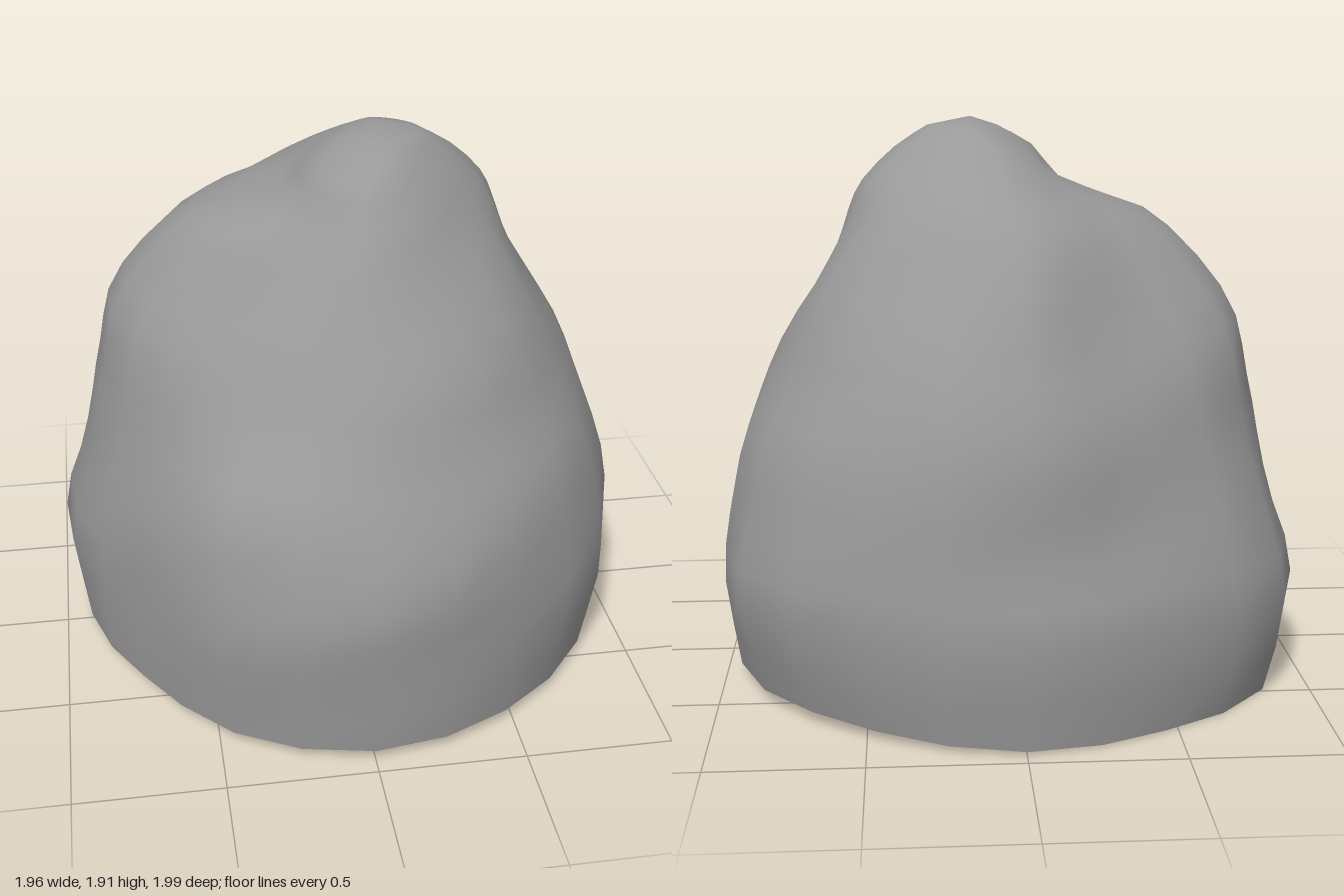
import * as THREE from 'three';

// Cross-sections from the open base to the crown: height and centre [y, x, z]
const LEVELS = [
  [0.045, 0, 0], [0.35, 0, 0], [0.6, 0, 0], [0.85, 0, 0], [1.05, 0, 0],
  [1.25, 0, 0], [1.45, 0, 0], [1.6, 0, 0], [1.7, 0.03, 0], [1.81, 0.06, 0.03],
  [1.88, 0.13, 0.06],
];
// Radii of each section every 30 degrees, from +x round through +z
const RADII = [
  [0.97, 0.95, 0.94, 0.95, 0.91, 0.85, 0.91, 0.97, 0.92, 0.95, 0.94, 0.98],
  [0.98, 1.0, 0.96, 0.98, 0.95, 0.86, 0.95, 1.04, 0.96, 0.99, 1.01, 1.06],
  [0.97, 0.99, 0.96, 0.99, 0.95, 0.84, 0.9, 0.97, 0.89, 0.95, 0.98, 1.03],
  [0.92, 0.93, 0.91, 0.9, 0.9, 0.78, 0.84, 0.89, 0.83, 0.93, 0.95, 0.96],
  [0.84, 0.84, 0.82, 0.79, 0.76, 0.72, 0.8, 0.85, 0.76, 0.89, 0.87, 0.86],
  [0.73, 0.76, 0.74, 0.7, 0.64, 0.64, 0.77, 0.79, 0.66, 0.79, 0.77, 0.78],
  [0.61, 0.64, 0.61, 0.59, 0.5, 0.51, 0.63, 0.65, 0.57, 0.68, 0.64, 0.66],
  [0.55, 0.54, 0.52, 0.5, 0.4, 0.41, 0.47, 0.47, 0.47, 0.57, 0.54, 0.55],
  [0.47, 0.44, 0.45, 0.44, 0.33, 0.24, 0.21, 0.24, 0.31, 0.43, 0.4, 0.44],
  [0.33, 0.3, 0.31, 0.35, 0.25, 0.17, 0.14, 0.13, 0.16, 0.23, 0.23, 0.26],
];
// Crown: a small rounded section just below the summit
RADII.push(RADII[9].map((r) => 0.05 + r * 0.3));

const SIDES = 24;
const STEPS = 2;

// Catmull-Rom blend of four neighbours
function spline(a, b, c, d, t) {
  return b + 0.5 * t * (c - a + t * (2 * a - 5 * b + 4 * c - d + t * (3 * (b - c) + d - a)));
}

function alongRing(row, turn) {
  const n = row.length;
  const k = Math.floor(turn * n);
  const at = (i) => row[(k + i + n) % n];
  return spline(at(-1), at(0), at(1), at(2), turn * n - k);
}

function alongHeight(values, s) {
  const last = values.length - 1;
  const k = Math.min(Math.floor(s), last - 1);
  const at = (i) => values[Math.max(0, Math.min(last, k + i))];
  return spline(at(-1), at(0), at(1), at(2), s - k);
}

// Slight dents and ledges on the weathered faces, fading out at rim and summit
function weathering(angle, y) {
  const fade = Math.min(1, y / 0.4) * Math.min(1, (1.95 - y) / 0.6);
  return 0.008 * fade * Math.sin(5 * angle + 1) * Math.sin(12 * y);
}

function boulderGeometry() {
  const positions = [];
  const index = [];
  const rings = (LEVELS.length - 1) * STEPS;
  for (let i = 0; i <= rings; i++) {
    const s = i / STEPS;
    const [y, cx, cz] = [0, 1, 2].map((c) => alongHeight(LEVELS.map((l) => l[c]), s));
    for (let j = 0; j < SIDES; j++) {
      const angle = (j / SIDES) * Math.PI * 2;
      const r = alongHeight(RADII.map((row) => alongRing(row, j / SIDES)), s) + weathering(angle, y);
      const x = cx + r * Math.cos(angle);
      const z = cz + r * Math.sin(angle);
      // The rim dips towards the back right
      const dip = Math.max(0, 1 - y / 0.3) * 0.055 * Math.max(0, -(x + z) / 1.4);
      positions.push(x, y - dip, z);
    }
  }
  for (let i = 0; i < rings; i++) {
    for (let j = 0; j < SIDES; j++) {
      const a = i * SIDES + j;
      const b = i * SIDES + (j + 1) % SIDES;
      index.push(a, a + SIDES, b, b, a + SIDES, b + SIDES);
    }
  }
  // Close the summit
  const apex = positions.length / 3;
  positions.push(0.13, 1.91, 0.06);
  for (let j = 0; j < SIDES; j++) {
    index.push(rings * SIDES + j, apex, rings * SIDES + (j + 1) % SIDES);
  }
  const geometry = new THREE.BufferGeometry();
  geometry.setAttribute('position', new THREE.Float32BufferAttribute(positions, 3));
  geometry.setIndex(index);
  geometry.computeVertexNormals();
  return geometry;
}

export function createModel() {
  const group = new THREE.Group();
  group.name = 'rock';
  // Hollow shell, open underneath
  const boulder = new THREE.Mesh(
    boulderGeometry(),
    new THREE.MeshStandardMaterial({ color: 0x999999, side: THREE.DoubleSide }),
  );
  boulder.name = 'boulder';
  group.add(boulder);
  return group;
}
